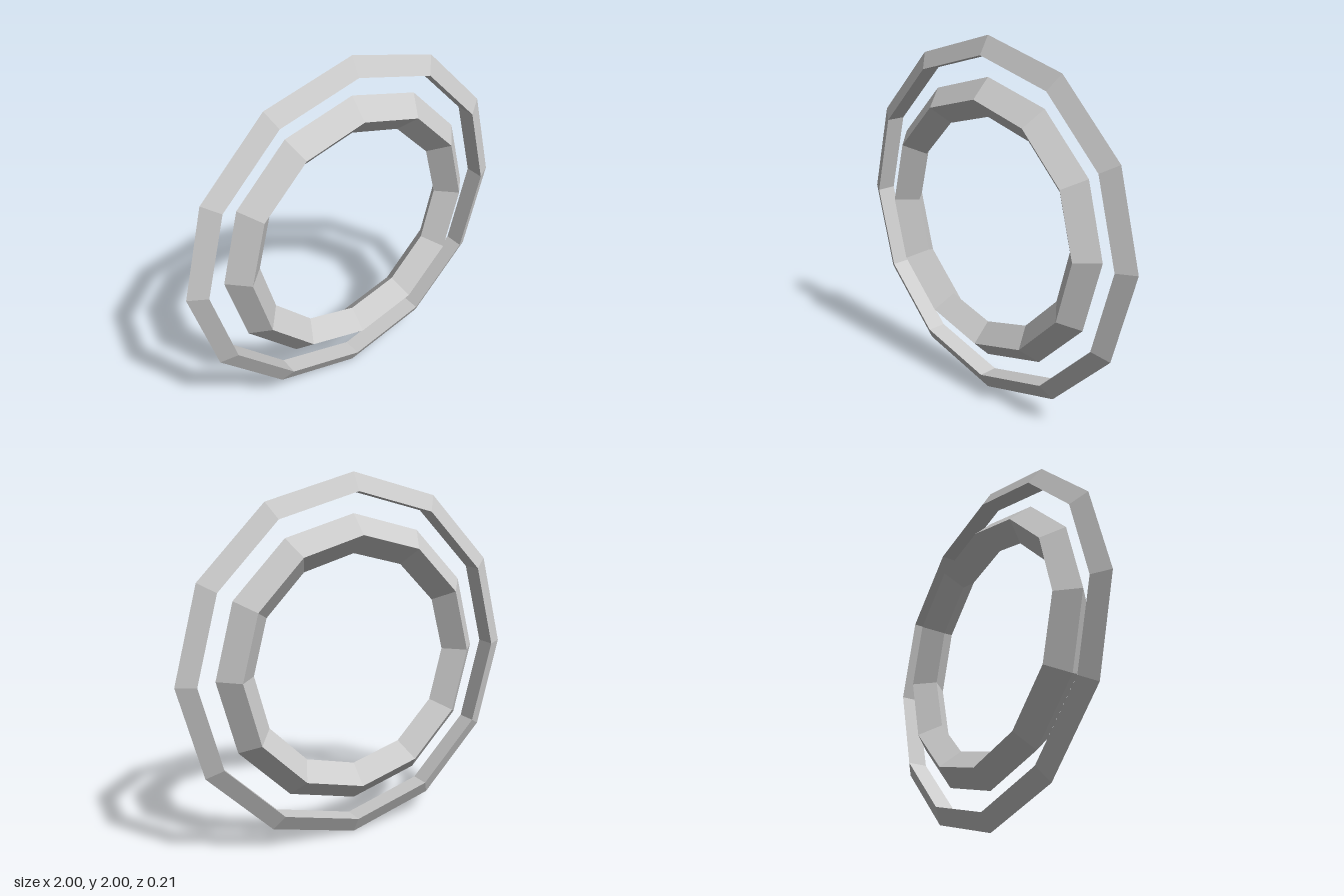
import * as THREE from 'three';

const SIDES = 12;

// Faceted ring standing upright in the xy plane, with a polygonal cross-section
function makeRing(name, radius, tube, sectionSides) {
  const material = new THREE.MeshStandardMaterial({ color: 0xcccccc, flatShading: true });
  const ring = new THREE.Mesh(new THREE.TorusGeometry(radius, tube, sectionSides, SIDES), material);
  ring.name = name;
  ring.position.y = 1;
  return ring;
}

export function createModel() {
  const group = new THREE.Group();
  group.name = 'concentricRings';
  // Thin outer ring: triangular section with its sharp edge pointing outward
  group.add(makeRing('outerRing', 0.936, 0.064, 3));
  // Thicker inner ring: diamond section
  group.add(makeRing('innerRing', 0.687, 0.103, 4));
  return group;
}
